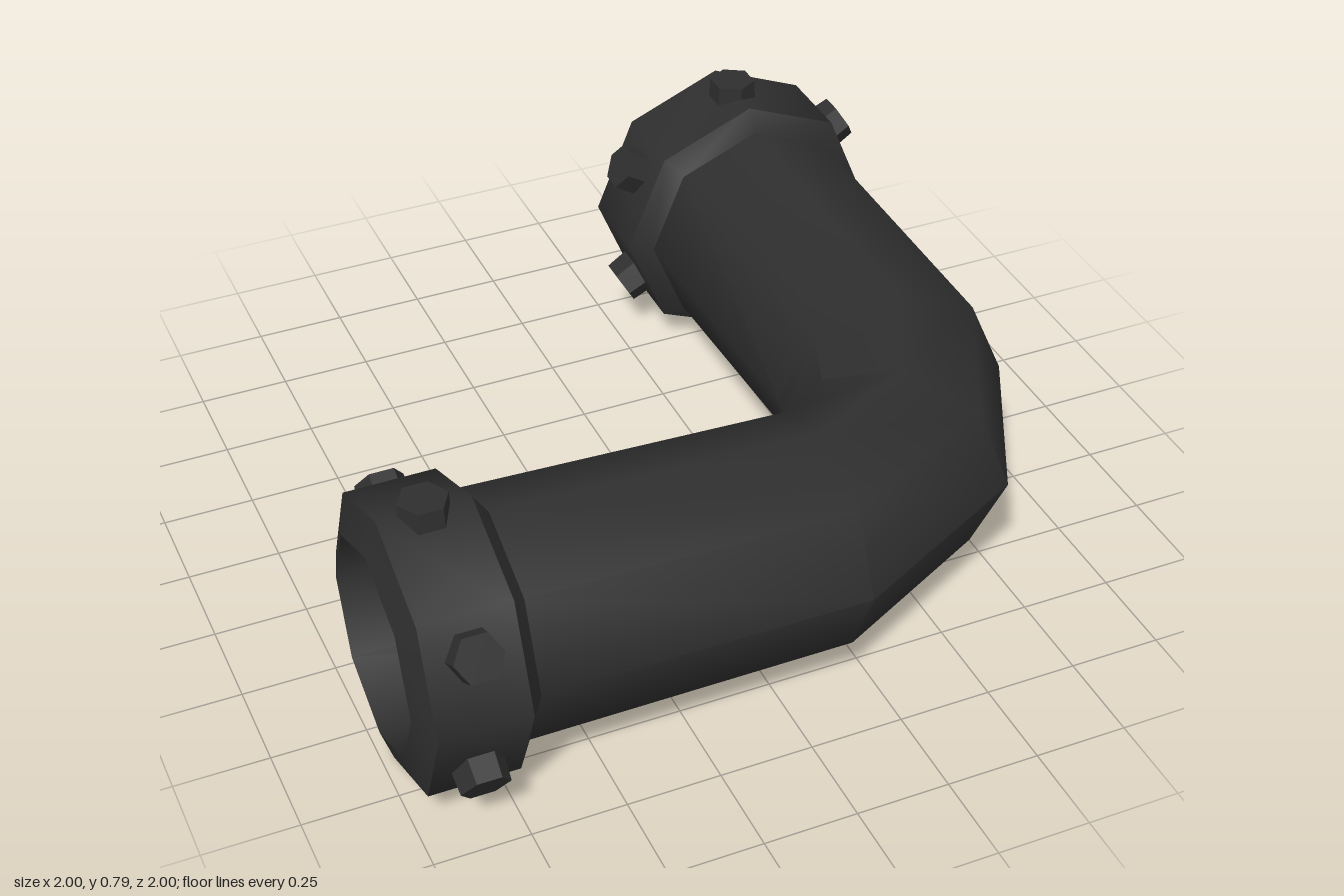
import * as THREE from 'three';
import { toCreasedNormals } from 'three/addons/utils/BufferGeometryUtils.js';

const SIDES = 8, AXIS_Y = 0.378, AXIS = 0.62;

// Skin a chain of octagonal rings; each ring is [innerX, innerZ, outerX, outerZ, verticalRadius]
function loft(rings) {
  const pos = [], index = [];
  for (const [xi, zi, xo, zo, rv] of rings) {
    for (let j = 0; j < SIDES; j++) {
      const a = (j / SIDES) * Math.PI * 2;
      const t = (1 + Math.cos(a)) / 2;
      pos.push(xi + (xo - xi) * t, AXIS_Y + rv * Math.sin(a), zi + (zo - zi) * t);
    }
  }
  for (let i = 0; i < rings.length - 1; i++) {
    for (let j = 0; j < SIDES; j++) {
      const k = (j + 1) % SIDES;
      const a = i * SIDES + j, b = i * SIDES + k;
      const c = a + SIDES, d = b + SIDES;
      index.push(a, c, b, c, d, b);
    }
  }
  const g = new THREE.BufferGeometry();
  g.setAttribute('position', new THREE.Float32BufferAttribute(pos, 3));
  g.setIndex(index);
  return toCreasedNormals(g, 0.88);
}

// Rings across the two straight legs
const legX = (x, r) => [x, AXIS - r, x, AXIS + r, r];
const legZ = (z, r) => [AXIS - r, z, AXIS + r, z, r];

// Same ring shrunk about its centre, for the bore
function shrink([xi, zi, xo, zo, rv], s) {
  const cx = (xi + xo) / 2, cz = (zi + zo) / 2;
  return [cx + (xi - cx) * s, cz + (zi - cz) * s, cx + (xo - cx) * s, cz + (zo - cz) * s, rv * s];
}

export function createModel() {
  const model = new THREE.Group();
  model.name = 'pipeElbow';
  const iron = new THREE.MeshStandardMaterial({ color: 0x2f2f2f });
  iron.name = 'darkIron';

  // Collar profile: distance along the leg and radius, from mouth to pipe
  const collar = [[-1, 0.28], [-0.968, 0.378], [-0.73, 0.378], [-0.69, 0.318]];
  const bend = [
    [0.165, 0.33, 0.18, 0.945, 0.3],
    [0.27, 0.27, 0.705, 0.68, 0.296],
    [0.318, 0.115, 0.94, 0.215, 0.3],
  ];
  const startCollar = collar.map(([x, r]) => legX(x, r));
  const endCollar = collar.map(([z, r]) => legZ(z, r)).reverse();

  const add = (name, rings) => {
    const mesh = new THREE.Mesh(loft(rings), iron);
    mesh.name = name;
    model.add(mesh);
  };
  add('sideCollar', startCollar);
  add('bentPipe', [startCollar[3], ...bend, endCollar[0]]);
  add('backCollar', endCollar);

  // Bore runs the other way so that it faces inwards
  const bore = [startCollar[0], ...bend.map((r) => shrink(r, 0.92)), endCollar[3]];
  add('bore', bore.reverse());

  // Five hexagonal bolts around each collar, none underneath
  const boltGeo = toCreasedNormals(new THREE.CylinderGeometry(0.064, 0.07, 0.1, 6), 0.5);
  boltGeo.rotateY(Math.PI / 2);
  boltGeo.translate(0, 0.36, 0);
  const boltRing = (name, x, z, turn) => {
    const ring = new THREE.Group();
    ring.name = name;
    for (let i = -2; i <= 2; i++) {
      const bolt = new THREE.Mesh(boltGeo, iron);
      bolt.name = 'bolt';
      bolt.rotation.x = (i * Math.PI) / 3;
      ring.add(bolt);
    }
    ring.position.set(x, AXIS_Y, z);
    ring.rotation.y = turn;
    model.add(ring);
  };
  boltRing('sideBolts', -0.85, AXIS, 0);
  boltRing('backBolts', AXIS, -0.85, -Math.PI / 2);

  return model;
}
